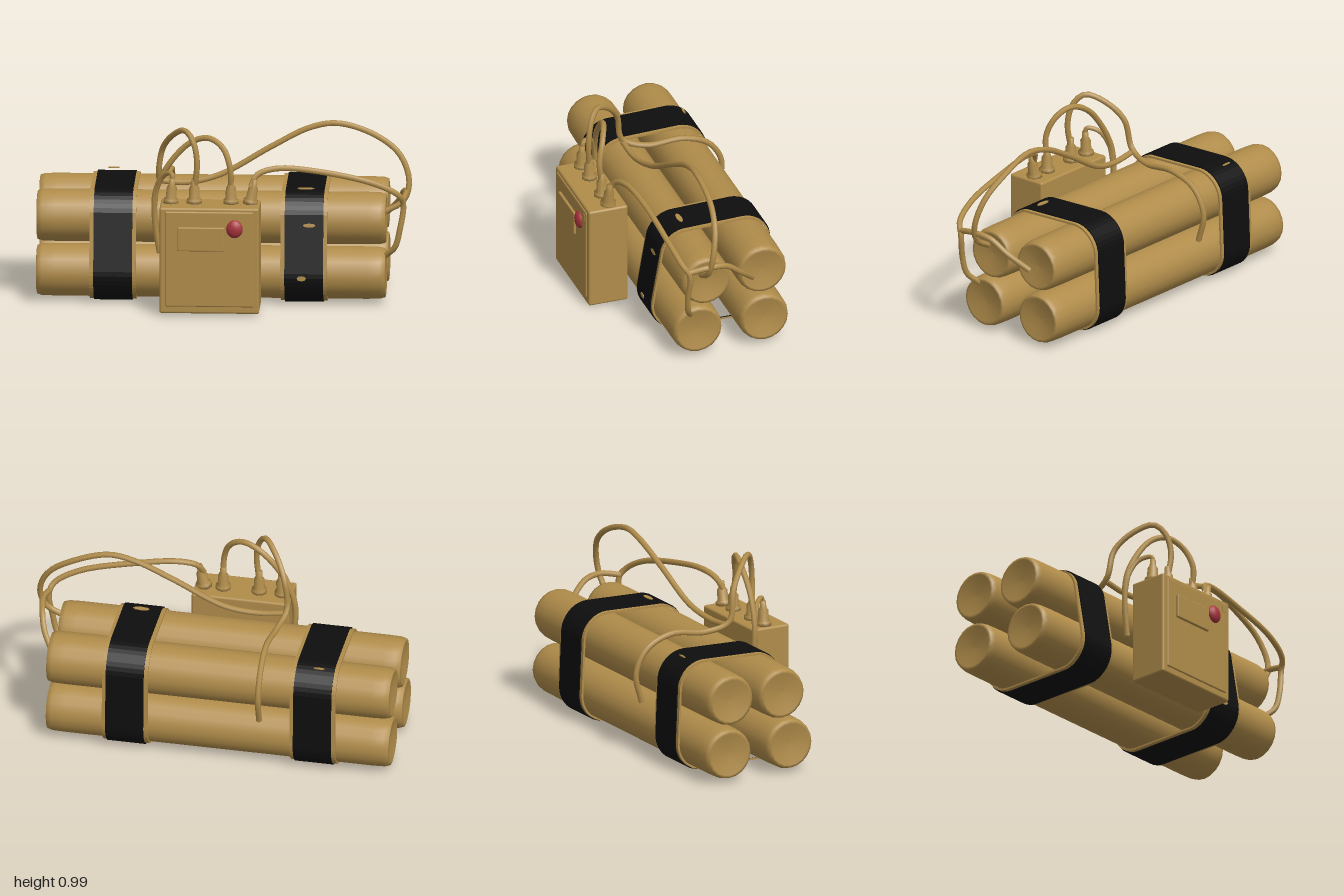
import * as THREE from 'three';
import { RoundedBoxGeometry } from 'three/addons/geometries/RoundedBoxGeometry.js';

const mat = (name, color) => {
  const m = new THREE.MeshStandardMaterial({ color });
  m.name = name;
  return m;
};

// Stick centres in the end section: [z, y]
const STICKS = [[0.025, 0.457], [-0.29, 0.467], [0.073, 0.17], [-0.302, 0.17]];
const R = 0.14;

// Point on the outline stretched around all four sticks, facing a given angle
function outlinePoint(angle, r) {
  const dz = Math.cos(angle), dy = Math.sin(angle);
  let best = STICKS[0];
  for (const s of STICKS) if (s[0] * dz + s[1] * dy > best[0] * dz + best[1] * dy) best = s;
  return new THREE.Vector2(best[0] + r * dz, best[1] + r * dy);
}

// Closed strap around the bundle from x0 to x1
function strapGeometry(x0, x1, inner, outer) {
  const ring = (r) => Array.from({ length: 40 }, (_, i) => {
    const p = outlinePoint((i / 40) * Math.PI * 2, r);
    return new THREE.Vector2(-p.x, p.y);
  });
  const shape = new THREE.Shape(ring(outer));
  shape.holes.push(new THREE.Path(ring(inner)));
  const g = new THREE.ExtrudeGeometry(shape, { depth: x1 - x0, bevelEnabled: false });
  return g.rotateY(Math.PI / 2).translate(x0, 0, 0);
}

export function createModel() {
  const tan = mat('tan', 0xb08c4a);
  const black = mat('black', 0x0e0e0e);
  const red = mat('red', 0xa8323c);
  const model = new THREE.Group();
  model.name = 'bundle';

  const add = (name, geometry, material, x = 0, y = 0, z = 0) => {
    const m = new THREE.Mesh(geometry, material);
    m.name = name;
    m.position.set(x, y, z);
    model.add(m);
    return m;
  };

  // Four sticks with folded paper ends
  const half = 0.93;
  const end = [[0, half - 0.02], [0.07, half - 0.016], [0.115, half], [0.13, half - 0.003], [R - 0.002, half - 0.03], [R, half - 0.1]];
  const profile = [
    ...end.map(([r, h]) => new THREE.Vector2(r, -h)),
    ...end.slice().reverse().map(([r, h]) => new THREE.Vector2(r, h)),
  ];
  const stickGeo = new THREE.LatheGeometry(profile, 20).rotateZ(-Math.PI / 2);
  STICKS.forEach(([z, y], i) => add('stick' + (i + 1), stickGeo, tan, -0.07, y, z));

  // Two straps: tan backing with black tape on top
  for (const [a, b, name] of [[-0.715, -0.467, 'rightStrap'], [0.302, 0.55, 'leftStrap']]) {
    add(name + 'Backing', strapGeometry(a, b, R + 0.001, R + 0.012), tan);
    add(name + 'Tape', strapGeometry(a + 0.022, b - 0.02, R + 0.008, R + 0.018), black);
  }

  // Small worn flecks in the tape: x, y, z, width, height, on top or front
  const fleck = (x, y, z, w, h, top) => {
    const m = add('wornFleck', new THREE.CylinderGeometry(0.5, 0.5, 0.006, 8), tan, x, y, z);
    m.scale.set(w, 1, h);
    m.rotation.x = top ? 0.03 : Math.PI / 2 - (y > 0.25 ? 0.165 : 0);
  };
  fleck(0.455, 0.45, 0.184, 0.07, 0.022, false);
  fleck(0.415, 0.17, 0.231, 0.05, 0.028, false);
  fleck(0.43, 0.615, 0.03, 0.09, 0.03, true);
  fleck(-0.61, 0.625, -0.365, 0.06, 0.012, true);

  // Control box with raised front cover, plate and button
  add('controlBox', new RoundedBoxGeometry(0.53, 0.577, 0.222, 2, 0.012), tan, -0.065, 0.315, 0.346);
  add('frontCover', new RoundedBoxGeometry(0.47, 0.52, 0.02, 2, 0.008), tan, -0.065, 0.325, 0.454);
  add('frontPlate', new RoundedBoxGeometry(0.25, 0.13, 0.024, 2, 0.006), tan, -0.108, 0.437, 0.466);
  const button = add('button', new THREE.SphereGeometry(0.045, 14, 10), red, 0.07, 0.493, 0.462);
  button.scale.set(1, 1.1, 0.62);
  add('cornerStud', new THREE.BoxGeometry(0.025, 0.035, 0.008), tan, 0.145, 0.55, 0.463);

  // Plugs along the box top
  const plugProfile = [[0, 0], [0.042, 0], [0.042, 0.022], [0.03, 0.03], [0.028, 0.085], [0.018, 0.1], [0.016, 0.135], [0, 0.135]]
    .map(([r, y]) => new THREE.Vector2(r, y));
  const plugGeo = new THREE.LatheGeometry(plugProfile, 10);
  [-0.275, -0.15, 0.045, 0.147].forEach((x, i) => {
    const p = add('plug' + (i + 1), plugGeo, tan, x, 0.6, 0.33);
    if (i === 0) p.rotation.z = -0.06;
    if (i === 3) p.rotation.z = -0.2;
  });

  // Wires as smooth tubes through a few points
  const wire = (name, pts, r = 0.016) => {
    const curve = new THREE.CatmullRomCurve3(pts.map((p) => new THREE.Vector3(...p)));
    add(name, new THREE.TubeGeometry(curve, 48, r, 7), tan);
  };
  wire('backWire', [
    [-0.15, 0.68, 0.33], [-0.135, 0.82, 0.34], [-0.155, 0.93, 0.32], [-0.2, 0.983, 0.275], [-0.27, 0.94, 0.19],
    [-0.33, 0.84, 0.11], [-0.35, 0.68, 0.075], [-0.32, 0.635, -0.05], [-0.3, 0.65, -0.25],
    [-0.3, 0.59, -0.4], [-0.3, 0.46, -0.47], [-0.3, 0.3, -0.435],
  ]);
  wire('sideWire', [
    [0.045, 0.68, 0.33], [0.04, 0.8, 0.34], [0, 0.9, 0.31], [-0.08, 0.945, 0.275], [-0.18, 0.91, 0.25],
    [-0.29, 0.79, 0.24], [-0.36, 0.64, 0.225], [-0.365, 0.48, 0.215], [-0.34, 0.3, 0.21],
  ]);
  wire('longWire', [
    [-0.35, 0.66, 0.07], [-0.2, 0.65, 0.06], [-0.02, 0.69, 0.03], [0.25, 0.84, 0.005], [0.45, 0.94, -0.01],
    [0.6, 0.965, -0.01], [0.8, 0.9, -0.015], [0.93, 0.8, 0.005], [0.98, 0.66, 0.035], [0.95, 0.56, 0.05], [0.85, 0.5, 0.055],
  ]);
  wire('frontWire', [
    [0.15, 0.69, 0.33], [0.18, 0.75, 0.3], [0.28, 0.78, 0.27], [0.5, 0.76, 0.24], [0.8, 0.69, 0.215],
    [0.93, 0.62, 0.185], [0.955, 0.57, 0.155], [0.935, 0.42, 0.16], [0.91, 0.33, 0.15], [0.85, 0.27, 0.115],
  ]);
  wire('branchWire', [
    [0.95, 0.585, 0.16], [0.965, 0.605, 0.05], [0.95, 0.59, -0.05], [0.92, 0.52, -0.14], [0.85, 0.43, -0.235],
  ]);
  wire('shortWire', [
    [-0.265, 0.7, 0.33], [-0.27, 0.755, 0.32], [-0.31, 0.74, 0.27], [-0.35, 0.66, 0.235], [-0.365, 0.55, 0.22],
  ], 0.013);

  return model;
}
